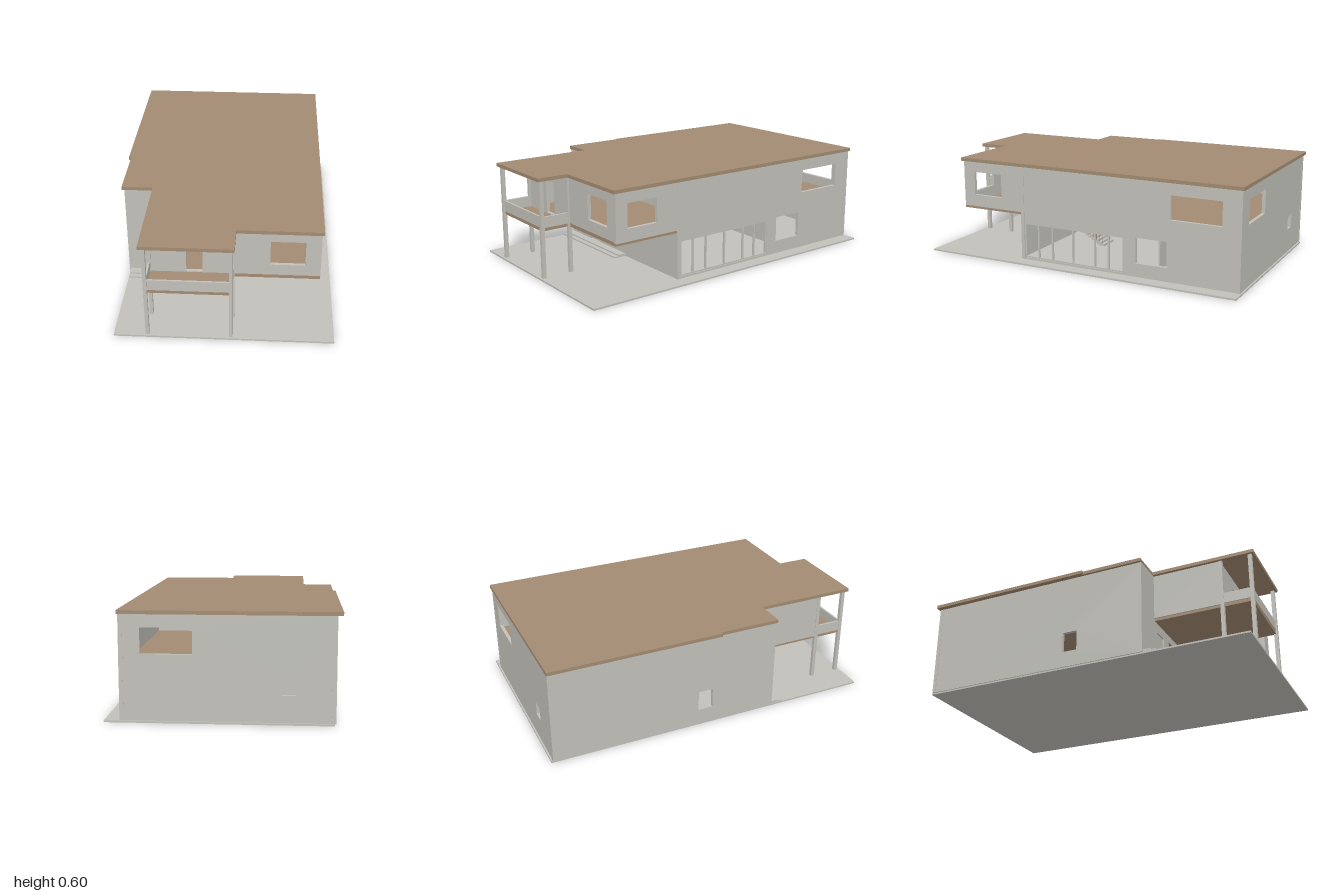
import * as THREE from 'three';

export function createModel() {
  const house = new THREE.Group();
  house.name = 'house';
  const grey = new THREE.MeshStandardMaterial({ color: 0xc1c0b9 });
  grey.name = 'plaster grey';
  const brown = new THREE.MeshStandardMaterial({ color: 0xa28b72 });
  brown.name = 'timber brown';

  const add = (name, geometry, material) => {
    const mesh = new THREE.Mesh(geometry, material);
    mesh.name = name;
    house.add(mesh);
    return mesh;
  };
  // Box given by its limits
  const box = (name, x0, x1, y0, y1, z0, z1, material = grey) => {
    const mesh = add(name, new THREE.BoxGeometry(x1 - x0, y1 - y0, z1 - z0), material);
    mesh.position.set((x0 + x1) / 2, (y0 + y1) / 2, (z0 + z1) / 2);
    return mesh;
  };
  const outline = (points) => new THREE.Shape(points.map(([a, b]) => new THREE.Vector2(a, b)));
  const rect = (a0, a1, b0, b1) => [[a0, b0], [a1, b0], [a1, b1], [a0, b1]];

  // Horizontal slab from [x, z] corners
  const slab = (name, points, y, height, material) => {
    const shape = outline(points.map(([x, z]) => [x, -z]));
    const g = new THREE.ExtrudeGeometry(shape, { depth: height, bevelEnabled: false });
    add(name, g.rotateX(-Math.PI / 2).translate(0, y, 0), material);
  };
  // Upright wall with rectangular openings; axis is the way it runs, outer/inner its two faces
  const wall = (name, axis, low, high, points, openings = []) => {
    const shape = outline(points);
    openings.forEach((o) => shape.holes.push(outline(rect(...o))));
    const g = new THREE.ExtrudeGeometry(shape, { depth: high - low, bevelEnabled: false });
    if (axis === 'x') g.translate(0, 0, low);
    else g.rotateY(-Math.PI / 2).translate(high, 0, 0);
    add(name, g, grey);
  };

  // Ground, plinth and entrance steps
  box('groundSlab', -0.59, 0.62, 0, 0.01, -1, 1);
  box('plinth', -0.575, 0.515, 0.01, 0.025, -0.97, 0.37);
  box('lowerStep', -0.588, 0.015, 0.01, 0.018, 0.39, 0.47);
  box('upperStep', -0.588, 0.015, 0.018, 0.026, 0.39, 0.44);

  // Roof
  slab('roof', [[-0.625, -1], [0.545, -1], [0.545, 0.815], [0.075, 0.815], [0.075, 1],
    [-0.43, 1], [-0.43, 0.39], [-0.61, 0.39], [-0.61, 0.025], [-0.625, 0.025]], 0.575, 0.02, brown);

  // Upper floor with its overhang and balcony
  slab('upperFloor', [[-0.575, -0.97], [0.515, -0.97], [0.515, 0.39], [0.533, 0.39], [0.533, 0.8],
    [0.055, 0.8], [0.055, 0.975], [-0.405, 0.975], [-0.405, 0.37], [-0.575, 0.37]], 0.284, 0.02, brown);

  // Outer walls
  const t = 0.02;
  wall('rightWall', 'z', 0.535 - t, 0.535,
    [[-0.99, 0.01], [0.39, 0.01], [0.39, 0.298], [0.8, 0.298], [0.8, 0.575], [-0.99, 0.575]],
    [[-0.295, 0.37, 0.022, 0.235], [-0.56, -0.37, 0.09, 0.24], [-0.88, -0.58, 0.365, 0.505], [0.53, 0.725, 0.37, 0.512]]);
  wall('leftWall', 'z', -0.595, -0.595 + t, rect(-0.99, 0.39, 0.01, 0.575), [[-0.105, -0.015, 0.105, 0.225]]);
  wall('upperLeftWall', 'z', -0.412, -0.412 + t, rect(0.38, 0.8, 0.3, 0.575));
  wall('backWall', 'x', -0.99, -0.99 + t, rect(-0.575, 0.515, 0.01, 0.575),
    [[0.15, 0.425, 0.365, 0.505], [-0.39, -0.315, 0.155, 0.235]]);
  wall('entranceWall', 'x', 0.39 - t, 0.39,
    [[-0.575, 0.01], [0.515, 0.01], [0.515, 0.284], [-0.395, 0.284], [-0.395, 0.575], [-0.575, 0.575]],
    [[-0.37, -0.275, 0.027, 0.228], [-0.2, -0.005, 0.09, 0.24]]);
  wall('upperFrontWall', 'x', 0.8 - t, 0.8, rect(-0.392, 0.515, 0.304, 0.575),
    [[-0.2, -0.11, 0.31, 0.505], [0.26, 0.45, 0.37, 0.518]]);

  // Inner walls
  box('upperPartition', -0.575, 0.515, 0.304, 0.575, 0.19, 0.2);
  box('lowerPartition', -0.575, 0.4, 0.025, 0.284, -0.46, -0.45);

  // Entrance door and timber window frame
  box('entranceDoor', -0.37, -0.275, 0.027, 0.228, 0.372, 0.382);
  for (const y of [0.09, 0.236]) box('windowRail', -0.2, -0.005, y, y + 0.004, 0.37, 0.392, brown);
  for (const x of [-0.2, -0.009]) box('windowStile', x, x + 0.004, 0.09, 0.24, 0.37, 0.392, brown);

  // Terrace door frames
  const stiles = [-0.295, -0.2, -0.11, 0.035, 0.175, 0.27, 0.36];
  for (const z of stiles) box('terraceStile', 0.52, 0.531, 0.022, 0.235, z, z + 0.01);
  for (const y of [0.022, 0.227]) box('terraceRail', 0.52, 0.531, y, y + 0.008, -0.295, 0.37);

  // Posts under the roof and at the house corners
  for (const x of [-0.405, 0.055]) {
    for (const z of [0.975, 0.8]) box('post', x - 0.01, x + 0.01, 0.01, 0.575, z - 0.011, z + 0.011);
  }
  for (const z of [0.381, -0.98]) box('cornerPost', 0.516, 0.538, 0.01, 0.575, z - 0.011, z + 0.011);
  box('cornerPost', -0.597, -0.575, 0.01, 0.575, -0.992, -0.97);

  // Balcony parapet
  box('frontParapet', -0.395, 0.045, 0.304, 0.367, 0.966, 0.978);
  for (const x of [-0.405, 0.055]) box('sideParapet', x - 0.006, x + 0.006, 0.304, 0.367, 0.811, 0.964);

  // Inner stair: flight, landing and railing
  const steps = 10;
  for (let i = 0; i < steps; i++) {
    const z = 0.05 + i * 0.022;
    const top = 0.038 + i * 0.0125;
    box('tread', 0, 0.13, top - 0.02, top, z, z + 0.024);
    box('baluster', 0.125, 0.128, top, top + 0.068, z + 0.01, z + 0.013, brown);
  }
  box('landing', 0, 0.13, 0.14, 0.16, 0.27, 0.365);
  for (let i = 0; i < 5; i++) {
    const z = 0.275 + i * 0.018;
    box('landingBaluster', 0.125, 0.128, 0.16, 0.225, z, z + 0.003, brown);
  }
  box('landingRail', 0.123, 0.13, 0.222, 0.228, 0.27, 0.365, brown);
  const rail = box('stairRail', 0.123, 0.13, 0.161, 0.167, 0.03, 0.285, brown);
  rail.position.set(0.1265, 0.167, 0.158);
  rail.rotation.x = -Math.atan2(0.0125, 0.022);

  return house;
}
